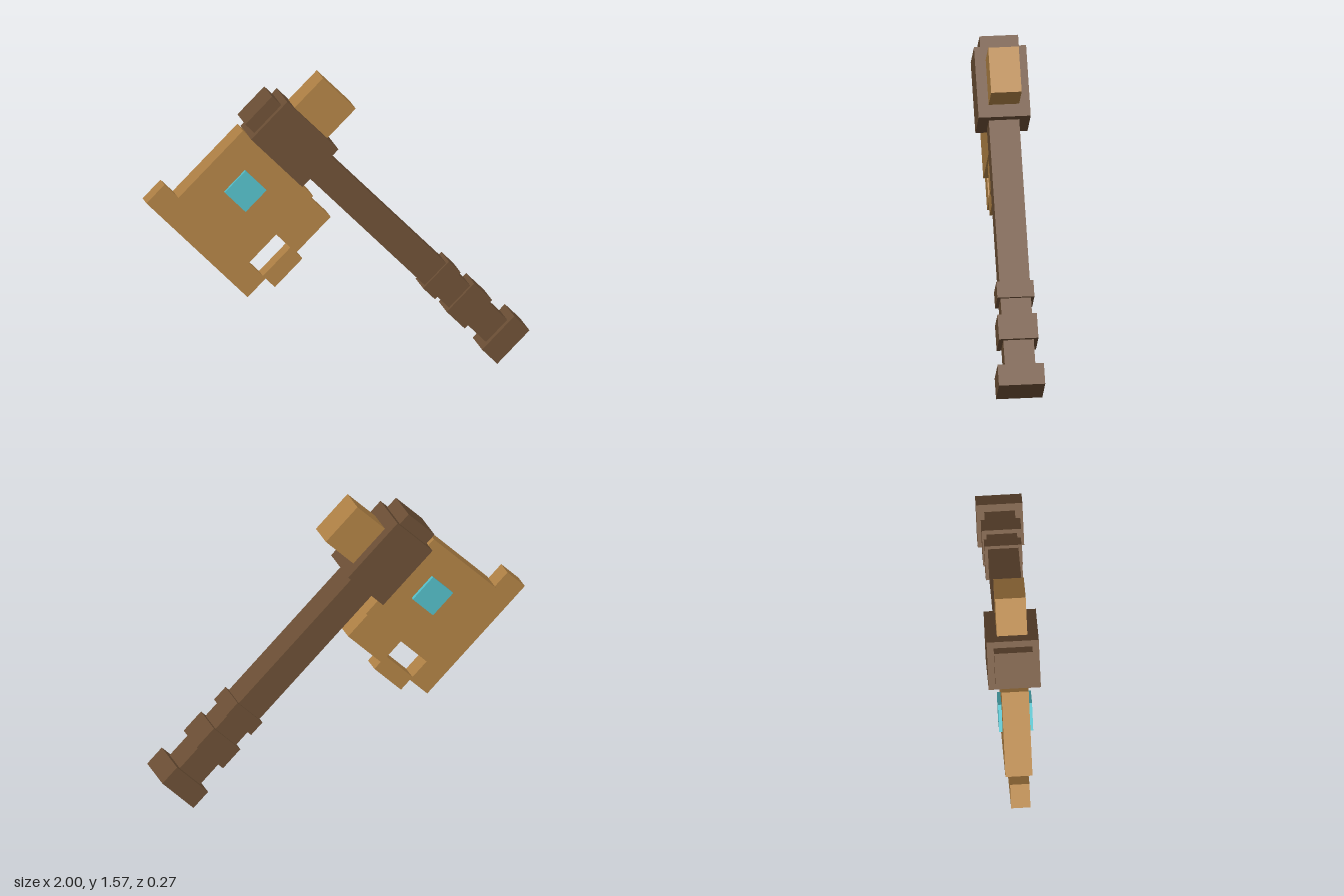
import * as THREE from 'three';

const material = (name, color) => {
  const m = new THREE.MeshStandardMaterial({ color });
  m.name = name;
  return m;
};

export function createModel() {
  const darkWood = material('darkWood', 0x6d5036);
  const tan = material('tanBlade', 0xb28346);
  const teal = material('tealGem', 0x55bfc9);

  const model = new THREE.Group();
  model.name = 'axe';

  // The axe is laid out upright (handle along y, blade towards -x), then tilted.
  const axe = new THREE.Group();
  axe.name = 'tiltedAxe';
  axe.rotation.z = Math.PI / 4;
  model.add(axe);

  // Block between x0..x1 and y0..y1, centred on z = 0 with the given half depth.
  const block = (name, mat, x0, x1, y0, y1, halfDepth) => {
    const mesh = new THREE.Mesh(new THREE.BoxGeometry(x1 - x0, y1 - y0, halfDepth * 2), mat);
    mesh.name = name;
    mesh.position.set((x0 + x1) / 2, (y0 + y1) / 2, 0);
    axe.add(mesh);
  };

  // Handle parts: square sections sharing one axis
  const axisX = 0.707;
  const section = (name, half, y0, y1) =>
    block(name, darkWood, axisX - half, axisX + half, y0, y1, half);
  section('pommel', 0.12, -0.587, -0.474);
  section('handle', 0.079, -0.48, 0.87);
  section('lowerGripRing', 0.102, -0.332, -0.198);
  section('upperGripRing', 0.096, -0.106, -0.018);
  section('headBlock', 0.135, 0.856, 1.237);
  section('headCap', 0.1, 1.23, 1.305);

  // Hammer-like poll behind the head
  block('poll', tan, 0.83, 1.054, 0.923, 1.167, 0.079);

  // Blade, cutting edge and hooked beard around the notch
  block('blade', tan, 0.092, 0.573, 0.756, 1.28, 0.07);
  block('cuttingEdge', tan, -0.042, 0.092, 0.624, 1.378, 0.05);
  block('beard', tan, 0.297, 0.555, 0.605, 0.756, 0.06);
  block('beardHook', tan, 0.092, 0.297, 0.555, 0.644, 0.05);

  // Gem set through the blade
  block('gem', teal, 0.276, 0.432, 0.968, 1.124, 0.088);

  return model;
}
